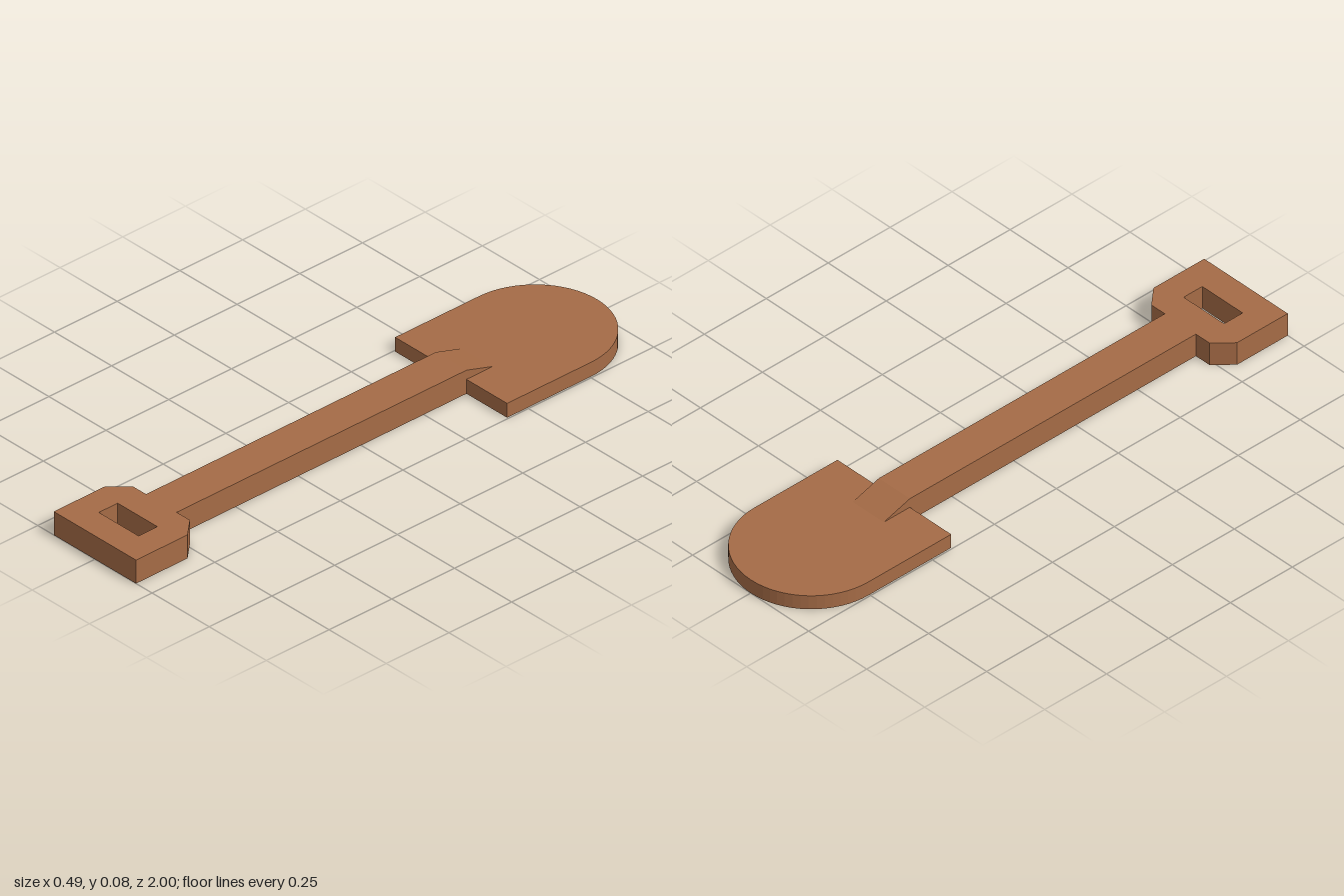
import * as THREE from 'three';

const material = new THREE.MeshStandardMaterial({ color: 0xa56b46, flatShading: true });

const toShape = (pts) => new THREE.Shape(pts.map(([a, b]) => new THREE.Vector2(a, b)));
const extrude = (shape, depth) =>
  new THREE.ExtrudeGeometry(shape, { depth, bevelEnabled: false, curveSegments: 16 });

// Plate lying on the ground: shape is drawn in (x, -z) and thickened upwards
const plate = (shape, height) => extrude(shape, height).rotateX(-Math.PI / 2);

function addPart(group, name, geometry) {
  const mesh = new THREE.Mesh(geometry, material);
  mesh.name = name;
  group.add(mesh);
}

export function createModel() {
  const group = new THREE.Group();
  group.name = 'shovel';
  const top = 0.082, bladeTop = 0.05, bladeFront = 0.42, r = 0.245, w = 0.067;

  // Blade: straight sides with a round tip
  const blade = new THREE.Shape();
  blade.moveTo(-r, bladeFront);
  blade.lineTo(r, bladeFront);
  blade.lineTo(r, 1 - r);
  blade.absarc(0, 1 - r, r, 0, Math.PI, false);
  blade.closePath();
  addPart(group, 'blade', plate(blade, bladeTop));

  // Shaft: side profile in (z, y), ending in a ramp that rests on the blade
  const shaft = toShape([
    [0.735, 0], [0.735, top], [-bladeFront, top],
    [-0.525, bladeTop], [-bladeFront, bladeTop], [-bladeFront, 0],
  ]);
  addPart(group, 'shaft', extrude(shaft, 2 * w).rotateY(-Math.PI / 2).translate(w, 0, 0));

  // Grip: chamfered block with a rectangular hand hole
  const grip = toShape([
    [-0.18, -1], [0.18, -1], [0.18, -0.795],
    [0.125, -0.735], [-0.125, -0.735], [-0.18, -0.795],
  ]);
  grip.holes.push(toShape([[-0.087, -0.905], [-0.087, -0.83], [0.087, -0.83], [0.087, -0.905]]));
  addPart(group, 'grip', plate(grip, top));

  return group;
}
